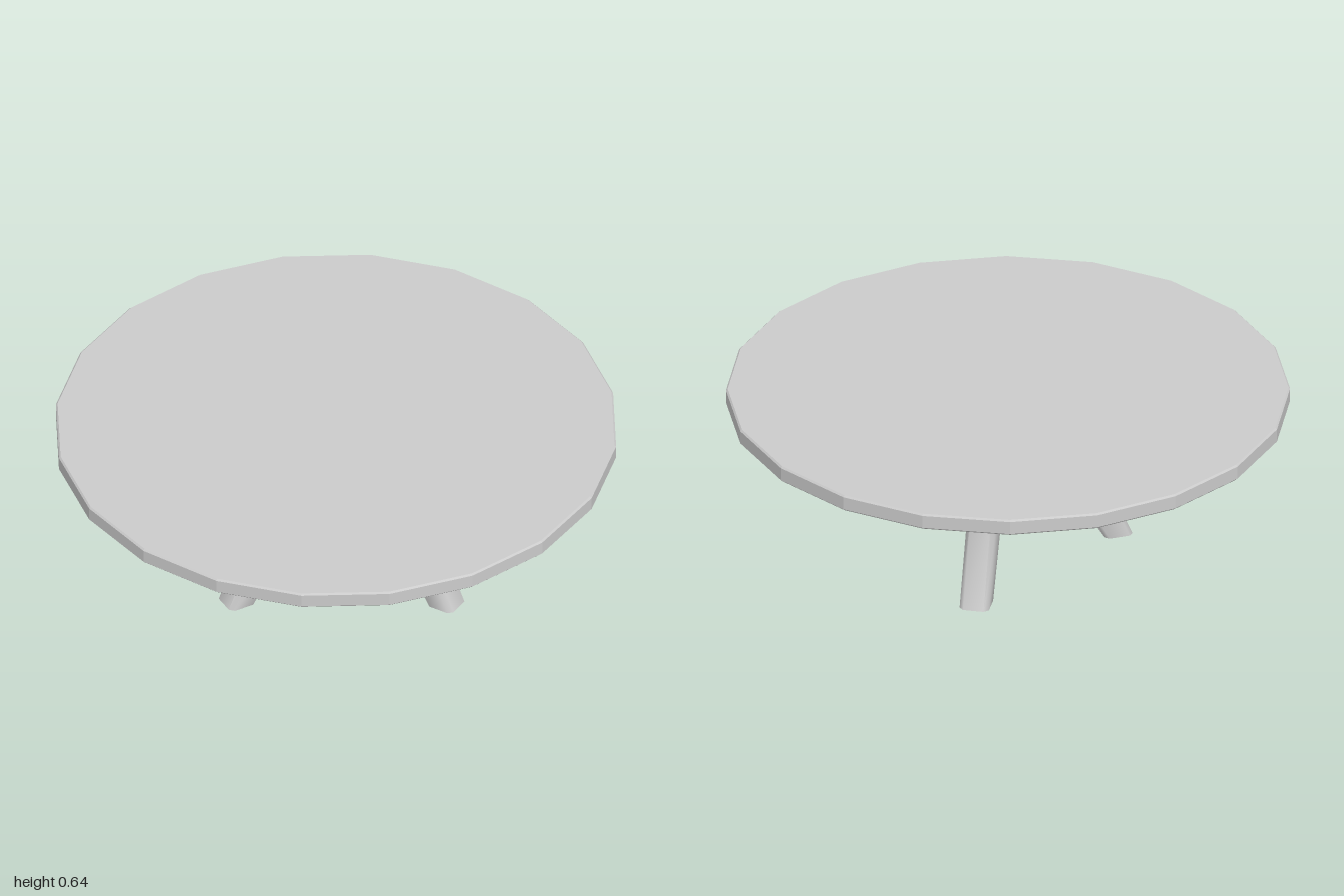
import * as THREE from 'three';
import { toCreasedNormals } from 'three/addons/utils/BufferGeometryUtils.js';

const material = new THREE.MeshStandardMaterial({ color: 0xcccccc });
const flatMaterial = new THREE.MeshStandardMaterial({ color: 0xcccccc, flatShading: true });

const HUB = new THREE.Vector3(0.006, 0, -0.028); // centre of the leg frame
const START = THREE.MathUtils.degToRad(-12);
const LEGS = 3;
const BEND = 0.3; // distance of the leg bends from the hub

function part(name, geometry, mat = material) {
  const mesh = new THREE.Mesh(geometry, mat);
  mesh.name = name;
  return mesh;
}

// Square bar with chamfered edges, lofted through tilted sections [radius, inner y, outer y]
function legGeometry() {
  const h = 0.053, c = 0.016, k = h - c;
  const outline = [[h, -k], [h, k], [k, h], [-k, h], [-h, k], [-h, -k], [-k, -h], [k, -h]];
  const sections = [
    [0.428, 0, 0],
    [0.303, 0.2, 0.29],
    [0.3, 0.38, 0.35],
    [0.445, 0.6, 0.6],
  ];
  const n = outline.length;
  const positions = [], index = [];
  for (const [r, yIn, yOut] of sections) {
    for (const [u, v] of outline) {
      positions.push(r + u, THREE.MathUtils.mapLinear(u, -h, h, yIn, yOut), v);
    }
  }
  for (let s = 0; s < sections.length - 1; s++) {
    for (let i = 0; i < n; i++) {
      const a = s * n + i, b = s * n + (i + 1) % n;
      index.push(a, a + n, b, b, a + n, b + n);
    }
  }
  for (let i = 1; i < n - 1; i++) index.push(0, i, i + 1); // foot sole
  const g = new THREE.BufferGeometry();
  g.setAttribute('position', new THREE.Float32BufferAttribute(positions, 3));
  g.setIndex(index);
  return toCreasedNormals(g, THREE.MathUtils.degToRad(50));
}

function bendPoint(i) {
  const a = START + (i * Math.PI * 2) / LEGS;
  return new THREE.Vector3(BEND * Math.cos(a), 0.342, BEND * Math.sin(a)).add(HUB);
}

// Round stretcher between two bends
function stretcher(from, to) {
  const dir = to.clone().sub(from);
  const g = new THREE.CylinderGeometry(0.038, 0.038, dir.length(), 12);
  const mesh = part('stretcher', g);
  mesh.position.copy(from).add(to).multiplyScalar(0.5);
  mesh.quaternion.setFromUnitVectors(new THREE.Vector3(0, 1, 0), dir.normalize());
  return mesh;
}

export function createModel() {
  const model = new THREE.Group();
  model.name = 'roundTable';

  // Twenty-sided top with a fine bevel
  const profile = [[0, 0.578], [0.994, 0.578], [1, 0.584], [1, 0.632], [0.994, 0.638], [0, 0.638]];
  const top = new THREE.LatheGeometry(profile.map(([x, y]) => new THREE.Vector2(x, y)), 20);
  model.add(part('tableTop', top, flatMaterial));

  // Three bent legs joined by a triangle of stretchers
  const leg = legGeometry();
  for (let i = 0; i < LEGS; i++) {
    const mesh = part('leg', leg);
    mesh.position.copy(HUB);
    mesh.rotation.y = -(START + (i * Math.PI * 2) / LEGS);
    model.add(mesh, stretcher(bendPoint(i), bendPoint((i + 1) % LEGS)));
  }
  return model;
}
